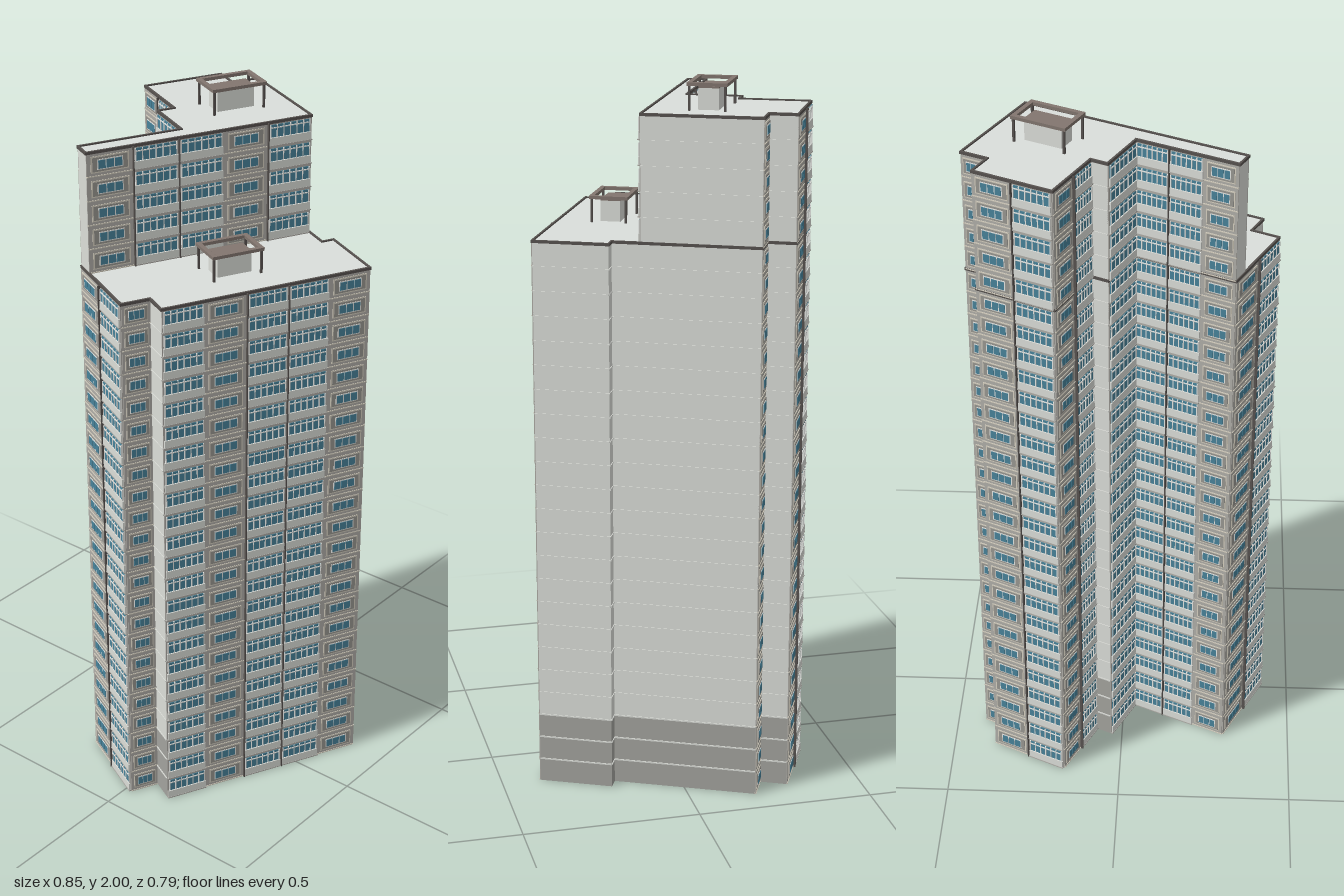
import * as THREE from 'three';
import { mergeGeometries } from 'three/addons/utils/BufferGeometryUtils.js';

const FLOOR = 1.925 / 28;      // storey height
const LOW = 23, HIGH = 28;     // storeys of the two wings
const BASE = 3;                // storeys of darker plinth

function material(name, color) {
  const m = new THREE.MeshStandardMaterial({ color });
  m.name = name;
  return m;
}

export function createModel() {
  const mats = {
    wall: material('pale wall', 0xdcded9),
    base: material('plinth grey', 0xa3a39e),
    roof: material('roof grey', 0xdadedb),
    panel: material('facade panel', 0xb0aea8),
    inset: material('inset panel', 0x999791),
    cream: material('cream trim', 0xd8d2c2),
    frame: material('window frame white', 0xe8eae7),
    glass: material('teal glass', 0x48839a),
    dark: material('dark edging', 0x57524f),
    brown: material('brown cover', 0x82766f),
  };

  const model = new THREE.Group();
  model.name = 'apartmentTower';
  const plan = new THREE.Group();
  plan.name = 'building';
  plan.rotation.y = -0.447;
  model.add(plan);

  // Collects boxes by colour, then makes one mesh per colour
  function builder(name) {
    const group = new THREE.Group();
    group.name = name;
    const bins = {};
    return {
      group,
      box(mat, w, h, d, x, y, z) {
        (bins[mat] ??= []).push(new THREE.BoxGeometry(w, h, d).translate(x, y, z));
      },
      finish() {
        for (const [mat, list] of Object.entries(bins)) {
          const mesh = new THREE.Mesh(mergeGeometries(list), mats[mat]);
          mesh.name = `${name} ${mat}`;
          group.add(mesh);
        }
        plan.add(group);
      },
    };
  }

  // Places a wall group so that its x runs from p to q and its z points outward
  function alongWall(group, p, q) {
    group.position.set(p[0], 0, p[1]);
    group.rotation.y = Math.atan2(p[1] - q[1], q[0] - p[0]);
    return Math.hypot(q[0] - p[0], q[1] - p[1]);
  }

  // Solid blocks
  function block(name, points, y0, y1, side) {
    const shape = new THREE.Shape(points.map(([u, v]) => new THREE.Vector2(u, -v)));
    const geo = new THREE.ExtrudeGeometry(shape, { depth: y1 - y0, bevelEnabled: false });
    geo.rotateX(-Math.PI / 2).translate(0, y0, 0);
    const mesh = new THREE.Mesh(geo, [mats.roof, mats[side]]);
    mesh.name = name;
    plan.add(mesh);
  }

  // Outline corners, each with the bays of the wall that starts there
  // W: window bay, B: glazed balcony bay, S: plain wall
  const outline = [
    [-0.369, 0.199, 'W', LOW], [-0.286, 0.199, 'S', LOW], [-0.286, 0.272, 'BWBBW', LOW],
    [0.331, 0.272, 'S', LOW], [0.331, 0.062, 'S', LOW], [0.295, 0.062, 'S', LOW],
    [0.295, -0.346, 'W', HIGH], [0.215, -0.346, 'S', HIGH], [0.215, -0.424, 'WB', HIGH],
    [-0.02, -0.424, 'WB', HIGH], [-0.02, -0.226, 'S', HIGH], [-0.07, -0.226, 'B', HIGH],
    [-0.07, -0.07, 'BBW', HIGH], [-0.369, -0.07, 'WB', LOW],
  ];
  const tall = [[-0.369, -0.017], [0.295, -0.017], ...outline.slice(6)];

  block('plinth', outline, 0, BASE * FLOOR, 'base');
  block('lowerBody', outline, BASE * FLOOR, LOW * FLOOR, 'wall');
  block('upperBody', tall, LOW * FLOOR, HIGH * FLOOR, 'wall');

  // One window bay: panel, surround and a three-pane window
  function windowBay(b, x, y, w) {
    b.box('panel', w, FLOOR, 0.003, x, y, 0.001);
    b.box('cream', w, 0.003, 0.006, x, y - FLOOR / 2 + 0.002, 0.001);
    b.box('cream', w * 0.82, FLOOR * 0.68, 0.004, x, y, 0.002);
    b.box('inset', w * 0.76, FLOOR * 0.58, 0.004, x, y, 0.003);
    b.box('frame', w * 0.56, FLOOR * 0.42, 0.004, x, y, 0.004);
    for (const i of [-1, 0, 1])
      b.box('glass', w * 0.155, FLOOR * 0.34, 0.004, x + i * w * 0.178, y, 0.005);
  }

  // One balcony bay: parapet, glazing with mullions and slab
  function balconyBay(b, x, y, w) {
    b.box('panel', w, FLOOR, 0.003, x, y, 0.001);
    b.box('wall', w * 0.96, FLOOR * 0.34, 0.008, x, y - FLOOR * 0.3, 0.003);
    b.box('glass', w * 0.92, FLOOR * 0.52, 0.005, x, y + FLOOR * 0.14, 0.002);
    b.box('frame', w * 0.92, 0.003, 0.007, x, y + FLOOR * 0.28, 0.003);
    for (let i = 0; i <= 6; i++)
      b.box('frame', 0.003, FLOOR * 0.52, 0.007, x + (i / 6 - 0.5) * w * 0.9, y + FLOOR * 0.14, 0.003);
    b.box('panel', w, 0.003, 0.01, x, y - FLOOR / 2 + 0.002, 0.003);
  }

  function facade(name, p, q, bays, from, to) {
    const b = builder(name);
    const length = alongWall(b.group, p, q);
    const w = length / bays.length;
    for (let f = from; f < to; f++) {
      const y = (f + 0.5) * FLOOR;
      [...bays].forEach((kind, i) => {
        const x = (i + 0.5) * w;
        if (kind === 'W') windowBay(b, x, y, w);
        else if (kind === 'B') balconyBay(b, x, y, w);
        else b.box('wall', w, 0.004, 0.004, x, (f + 1) * FLOOR, 0);
      });
    }
    // Dark fins at the sides of the balcony bays
    for (let i = 1; i < bays.length; i++)
      if (bays[i] === 'B')
        b.box('dark', 0.003, (to - from) * FLOOR, 0.014, i * w, (from + to) / 2 * FLOOR, 0.003);
    b.finish();
  }

  outline.forEach((p, i) => {
    const q = outline[(i + 1) % outline.length];
    facade(`facade${i + 1}`, p, q, p[2], 0, p[3]);
  });
  facade('upperFrontFacade', tall[0], tall[1], 'WBBWB', LOW, HIGH);
  facade('upperSideWall', tall[1], tall[2], 'S', LOW, HIGH);

  // Thin dark edging round each roof level
  function edging(name, points, y) {
    points.forEach((p, i) => {
      const b = builder(`${name}${i + 1}`);
      const length = alongWall(b.group, p, points[(i + 1) % points.length]);
      b.box('dark', length + 0.006, 0.008, 0.006, length / 2, y, 0);
      b.finish();
    });
  }
  edging('lowerRoofEdge', outline, LOW * FLOOR);
  edging('upperRoofEdge', tall, HIGH * FLOOR);

  // Roof hut under an open frame on four posts
  function roofHut(name, u, v, y, length) {
    const b = builder(name);
    b.group.position.set(u, y, v);
    b.box('wall', length - 0.052, 0.058, 0.056, 0, 0.029, 0);
    b.box('brown', length - 0.052, 0.004, 0.056, 0, 0.06, 0);
    for (const s of [-1, 1]) {
      b.box('brown', length, 0.009, 0.013, 0, 0.0705, s * 0.0485);
      b.box('brown', 0.013, 0.009, 0.084, s * (length / 2 - 0.0065), 0.0705, 0);
      for (const t of [-1, 1])
        b.box('dark', 0.006, 0.067, 0.006, s * (length / 2 - 0.0065), 0.0335, t * 0.0485);
    }
    b.finish();
  }
  roofHut('lowerRoofHut', -0.018, 0.125, LOW * FLOOR, 0.153);
  roofHut('upperRoofHut', 0.131, -0.179, HIGH * FLOOR, 0.163);

  return model;
}
